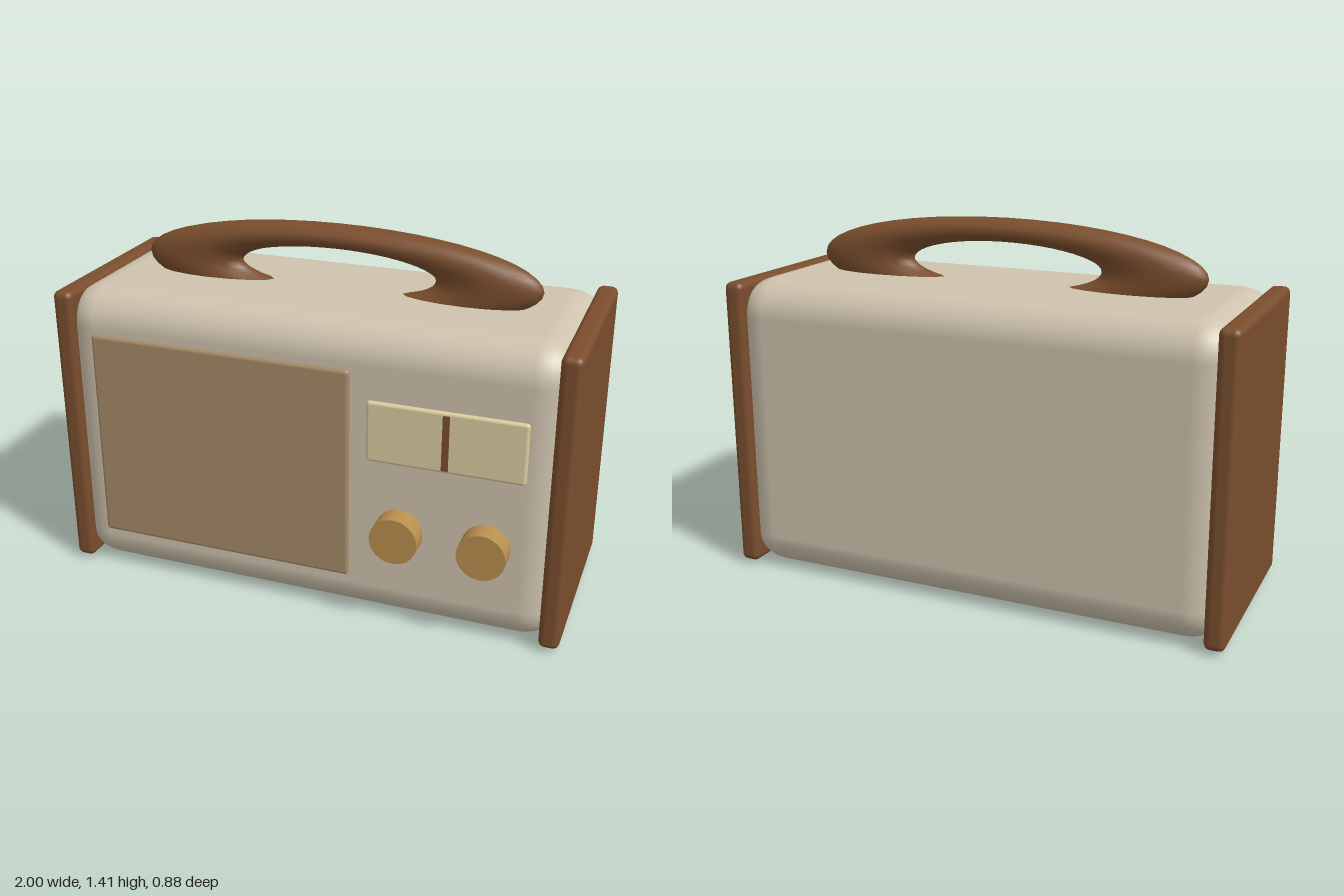
import * as THREE from 'three';
import { RoundedBoxGeometry } from 'three/addons/geometries/RoundedBoxGeometry.js';

const mat = (name, color) => {
  const m = new THREE.MeshStandardMaterial({ color });
  m.name = name;
  return m;
};

export function createModel() {
  const group = new THREE.Group();
  const cream = mat('cream shell', 0xcfc3ae);
  const wood = mat('brown wood', 0x7a4e2d);
  const cloth = mat('tan cloth', 0xa58a68);
  const ivory = mat('ivory dial', 0xdccd9f);
  const brass = mat('brass', 0xb88f4e);
  const midZ = -0.037;

  const add = (name, geometry, material, x, y, z) => {
    const mesh = new THREE.Mesh(geometry, material);
    mesh.name = name;
    mesh.position.set(x, y, z);
    group.add(mesh);
    return mesh;
  };

  // Softly rounded cabinet, its ends tucked into the side panels
  add('cabinet', new RoundedBoxGeometry(1.96, 1.17, 0.79, 4, 0.14), cream, 0, 0.585, midZ);

  // Wooden end panels
  for (const side of [-1, 1]) {
    add(side > 0 ? 'leftPanel' : 'rightPanel',
      new RoundedBoxGeometry(0.078, 1.145, 0.806, 3, 0.025), wood, side * 0.961, 0.5875, midZ);
  }

  // Flattened ring handle, lower part sunk into the cabinet
  const handle = add('handle', new THREE.TorusGeometry(0.585, 0.2, 16, 48), wood, 0, 1.234, midZ);
  handle.scale.set(1, 0.225, 0.34);

  // Speaker cloth, tuning dial and needle on the front
  add('speakerGrille', new RoundedBoxGeometry(1.035, 0.84, 0.04, 2, 0.015), cloth, -0.327, 0.587, 0.351);
  add('tuningDial', new RoundedBoxGeometry(0.585, 0.235, 0.04, 2, 0.012), ivory, 0.548, 0.785, 0.352);
  add('dialNeedle', new THREE.BoxGeometry(0.025, 0.212, 0.008), wood, 0.55, 0.785, 0.372);

  // Control knobs
  for (const x of [0.386, 0.711]) {
    const knob = add('knob', new THREE.CylinderGeometry(0.09, 0.09, 0.1, 32), brass, x, 0.394, 0.391);
    knob.rotation.x = Math.PI / 2;
  }

  return group;
}
